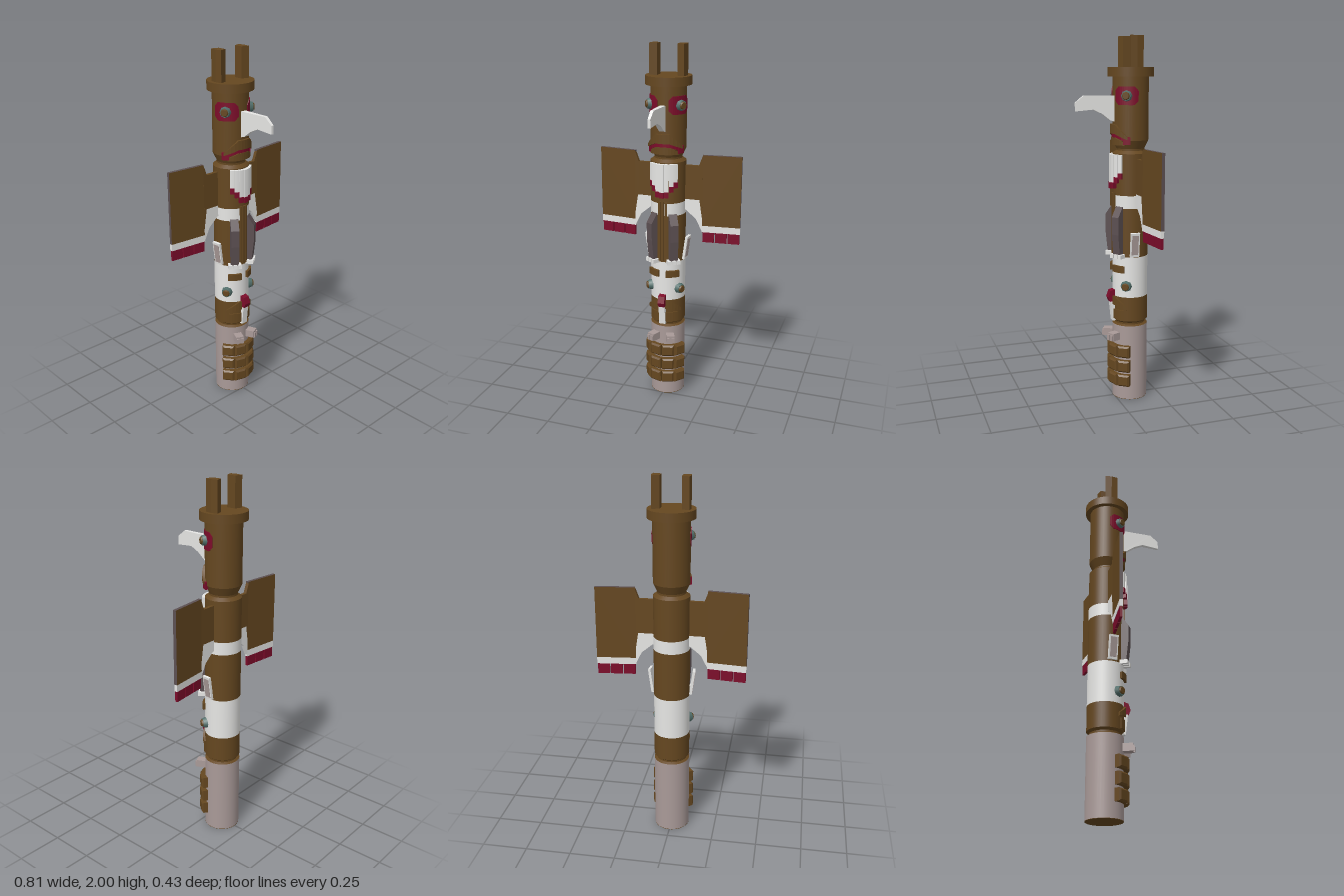
import * as THREE from 'three';

const std = (name, color) => {
  const m = new THREE.MeshStandardMaterial({ color });
  m.name = name;
  return m;
};
const ZC = -0.093; // pole axis
const R = 0.097;   // pole radius
const rad = THREE.MathUtils.degToRad;

export function createModel() {
  const brown = std('brown wood', 0x654720);
  const white = std('white paint', 0xe6e6e4);
  const red = std('dark red', 0x7c0c2a);
  const stone = std('pinkish grey', 0xa99a98);
  const dark = std('dark feather', 0x5c5052);
  const teal = std('dull teal', 0x53706c);

  const root = new THREE.Group();
  const add = (name, geo, mat, parent = root) => {
    const m = new THREE.Mesh(geo, mat);
    m.name = name;
    parent.add(m);
    return m;
  };
  const poly = pts => new THREE.Shape(pts.map(p => new THREE.Vector2(...p)));

  // Solid of revolution round the pole axis, one segment per pair of points
  const drum = (name, mat, pts) => {
    for (let i = 0; i < pts.length - 1; i++) {
      const [r0, y0] = pts[i], [r1, y1] = pts[i + 1];
      const g = new THREE.CylinderGeometry(r1, r0, y1 - y0, 40);
      add(name, g.translate(0, (y0 + y1) / 2, ZC), mat);
    }
  };

  // Plate wrapped on the pole: angles from the front, bottom and top edges as functions of 0..1
  const wrap = (name, mat, a0, a1, r, bottom, top, inner = R - 0.005) => {
    const n = 12, pos = [], idx = [];
    const f = v => (typeof v === 'function' ? v : () => v);
    for (let i = 0; i < n; i++) {
      const corner = (t, rr, e) => {
        const a = rad(a0 + (a1 - a0) * t);
        return [rr * Math.sin(a), f(e)(t), ZC + rr * Math.cos(a)];
      };
      const t = i / n, u = (i + 1) / n;
      const quad = (a, b, c, d) => {
        const k = pos.length / 3;
        pos.push(...a, ...b, ...c, ...d);
        idx.push(k, k + 1, k + 2, k, k + 2, k + 3);
      };
      const A = corner(t, r, bottom), B = corner(u, r, bottom), C = corner(u, r, top), D = corner(t, r, top);
      const a = corner(t, inner, bottom), b = corner(u, inner, bottom), c = corner(u, inner, top), d = corner(t, inner, top);
      quad(A, B, C, D);
      quad(D, C, c, d);
      quad(a, b, B, A);
      if (i === 0) quad(a, A, D, d);
      if (i === n - 1) quad(B, b, c, C);
    }
    const g = new THREE.BufferGeometry();
    g.setAttribute('position', new THREE.Float32BufferAttribute(pos, 3));
    g.setIndex(idx);
    g.computeVertexNormals();
    return add(name, g, mat);
  };

  // Group standing on the pole surface, local +z pointing outwards
  const mount = (name, deg, r, y) => {
    const g = new THREE.Group();
    g.name = name;
    const a = rad(deg);
    g.position.set(r * Math.sin(a), y, ZC + r * Math.cos(a));
    g.rotation.y = a;
    root.add(g);
    return g;
  };

  // Side profile in (z, y) extruded across x
  const profile = (pts, w) => new THREE.ExtrudeGeometry(poly(pts), { depth: w, bevelEnabled: false })
    .translate(0, 0, -w / 2).rotateY(-Math.PI / 2);

  // Pole sections
  drum('base', stone, [[R, 0.002], [R, 0.43]]);
  drum('baseUnderside', brown, [[R, 0], [R, 0.002]]);
  drum('lowerNeck', brown, [[R, 0.43], [0.083, 0.437], [0.083, 0.447], [R, 0.458]]);
  drum('lowerHead', brown, [[R, 0.458], [R, 0.595]]);
  drum('lowerHeadWhite', white, [[R, 0.595], [R, 0.822]]);
  drum('body', brown, [[R, 0.822], [R, 1.09]]);
  drum('bodyBand', white, [[R, 1.09], [R, 1.16]]);
  drum('chest', brown, [[R, 1.16], [R, 1.385], [0.076, 1.4], [0.076, 1.41], [R, 1.455]]);
  drum('upperHead', brown, [[R, 1.455], [R, 1.79]]);
  drum('capDisc', brown, [[0.124, 1.79], [0.124, 1.837]]);

  for (const s of [1, -1]) {
    // Posts on the cap
    const post = new THREE.ExtrudeGeometry(
      poly([[s * 0.055, 0.025], [s * 0.095, 0.037], [s * 0.1, 0], [s * 0.095, -0.037], [s * 0.055, -0.025]]),
      { depth: 0.165, bevelEnabled: false });
    add('capPost', post.rotateX(-Math.PI / 2).translate(0, 1.835, ZC), brown);

    // Upper eye patch with cut corners
    const cut = t => 0.022 * Math.max(0, Math.abs(t - 0.5) * 6 - 2);
    wrap('eyePatch', red, s > 0 ? 18 : -95, s > 0 ? 95 : -18, R + 0.004,
      t => 1.642 + cut(t), t => 1.738 - cut(t));

    // Eyes of both heads
    for (const y of [1.69, 0.66]) {
      const eye = mount('eye', s * 58, R, y);
      add('eyeRim', new THREE.CylinderGeometry(0.025, 0.032, 0.024, 8).rotateX(Math.PI / 2).translate(0, 0, 0.008), teal, eye);
      add('eyeBall', new THREE.CylinderGeometry(0.017, 0.024, 0.012, 8).rotateX(Math.PI / 2).translate(0, 0, 0.022), brown, eye);
    }

    // Eyebrow
    wrap('eyebrow', brown, s > 0 ? 11 : -53, s > 0 ? 53 : -11, R + 0.014, 0.735, 0.772);

    // Red mouth corner
    wrap('mouthCorner', red, s > 0 ? 48 : -70, s > 0 ? 70 : -48, R + 0.009, 1.435, 1.475, 0.08);

    // Folded leg feather with toes
    const leg = mount('leg', s * 33, R, 0);
    add('legFeather', profile([[-0.01, 0.835], [0.024, 0.835], [0.037, 0.95], [0.037, 1.045], [0.0, 1.1], [-0.01, 1.1]], 0.045), dark, leg);
    for (const x of [-0.026, 0, 0.026])
      add('toe', new THREE.BoxGeometry(0.02, 0.022, 0.045).translate(x, 0.829, 0.012), white, leg);

    // Tail plate leaning outwards at the side
    const tail = mount('tailPlate', s * 84, R + 0.014, 0.895);
    tail.rotation.order = 'YXZ';
    tail.rotation.x = 0.14;
    add('tailFrame', new THREE.BoxGeometry(0.05, 0.135, 0.014), white, tail);
    add('tailFace', new THREE.BoxGeometry(0.036, 0.11, 0.004).translate(0, 0, 0.007), stone, tail);

    // Small hand above the blocks
    const hand = mount('hand', s * 24, R, 0.37);
    add('palm', new THREE.BoxGeometry(0.045, 0.042, 0.07).translate(0, 0, 0.015), stone, hand);
    for (const x of [-0.013, 0.013])
      add('finger', new THREE.BoxGeometry(0.016, 0.03, 0.014).translate(x, -0.004, 0.05), stone, hand);

    // Three rows of bevelled blocks
    for (const y of [0.117, 0.2, 0.285])
      for (const deg of [18, 53]) {
        const block = mount('block', s * deg, R, y);
        const w = 0.025, h = 0.024;
        const g = new THREE.ExtrudeGeometry(poly([[-w, -h], [w, -h], [w, h], [-w, h]]),
          { depth: 0.026, bevelSize: 0.009, bevelThickness: 0.008, bevelSegments: 1 });
        add('blockBody', g.translate(0, 0, -0.006), brown, block);
      }

    // Wing: flat root plus an outer panel swept slightly back
    const wing = new THREE.Group();
    wing.name = 'wing';
    wing.scale.x = s;
    wing.position.z = -0.1;
    root.add(wing);
    const slab = (pts, d = 0.018) => new THREE.ExtrudeGeometry(poly(pts), { depth: d, bevelEnabled: false }).translate(0, 0, -d / 2);
    add('wingRoot', slab([[0.08, 1.17], [0.178, 1.17], [0.195, 1.06], [0.195, 1.42], [0.172, 1.36], [0.08, 1.36]]), brown, wing);
    add('wingRootEdge', slab([[0.08, 1.1], [0.1, 1.11], [0.16, 1.06], [0.195, 0.99], [0.195, 1.06], [0.178, 1.17], [0.08, 1.17]]), white, wing);
    const outer = new THREE.Group();
    outer.name = 'wingPanel';
    outer.position.x = 0.192;
    outer.rotation.y = 0.1;
    wing.add(outer);
    add('wingFace', slab([[0, 1.025], [0.212, 1.025], [0.212, 1.42], [0, 1.42]]), [brown, dark], outer);
    add('wingBand', slab([[0, 0.988], [0.212, 0.988], [0.212, 1.025], [0, 1.025]]), white, outer);
    for (let i = 0; i < 3; i++) {
      const x = 0.005 + i * 0.07;
      add('wingTip', slab([[x, 0.93], [x + 0.064, 0.93], [x + 0.064, 0.988], [x, 0.988]], 0.014), red, outer);
    }
  }

  // Upper beak: hooked profile narrowing towards the tip
  const beak = profile([[-0.01, 1.55], [0.025, 1.56], [0.07, 1.595], [0.12, 1.618], [0.215, 1.61],
    [0.215, 1.655], [0.17, 1.692], [-0.01, 1.69]], 0.032);
  const bp = beak.attributes.position;
  for (let i = 0; i < bp.count; i++) bp.setX(i, bp.getX(i) * (1 - 0.55 * Math.max(0, bp.getZ(i)) / 0.215));
  beak.computeVertexNormals();
  add('upperBeak', beak, white);

  // Upper mouth: arched lip over a lower lip
  const arch = (y, h) => t => y + h * Math.min(1, (1 - Math.abs(2 * t - 1)) * 1.5);
  wrap('upperLip', brown, -62, 62, R + 0.014, arch(1.46, 0.03), arch(1.475, 0.065));
  wrap('mouthLine', red, -62, 62, R + 0.004, arch(1.445, 0.025), arch(1.46, 0.03), 0.08);
  wrap('lowerLip', brown, -52, 52, R + 0.007, 1.43, arch(1.445, 0.025), 0.075);

  // Chest feathers, stepped down to the middle, with red tips
  for (let i = -3; i <= 3; i++) {
    const k = Math.abs(i), a = i * 13, y = 1.195 + [0, 0.003, 0.033, 0.055][k], r = R + 0.022 - k * 0.003;
    wrap('chestFeather', white, a - 6.2, a + 6.2, r, y + 0.032, 1.38);
    wrap('chestFeatherTip', red, a - 6.2, a + 6.2, r + 0.002, y, y + 0.032);
  }
  // Belly ribs between the legs
  for (const a of [-10, 0, 10]) wrap('bellyRib', brown, a - 4, a + 4, R + 0.006, 0.83, 1.17);

  // Lower face: red beak, lips and white tongue
  add('lowerBeak', profile([[-0.01, 0.565], [0.03, 0.56], [0.04, 0.585], [0.028, 0.622], [-0.01, 0.632]], 0.038), red);
  wrap('lowerFaceLip', brown, -60, 60, R + 0.012, arch(0.525, 0.02), arch(0.545, 0.05));
  wrap('lowerFaceChin', brown, -50, 50, R + 0.006, 0.465, 0.52);
  add('tongue', profile([[-0.01, 0.45], [0.014, 0.45], [0.026, 0.565], [-0.01, 0.565]], 0.036), white);

  return root;
}
